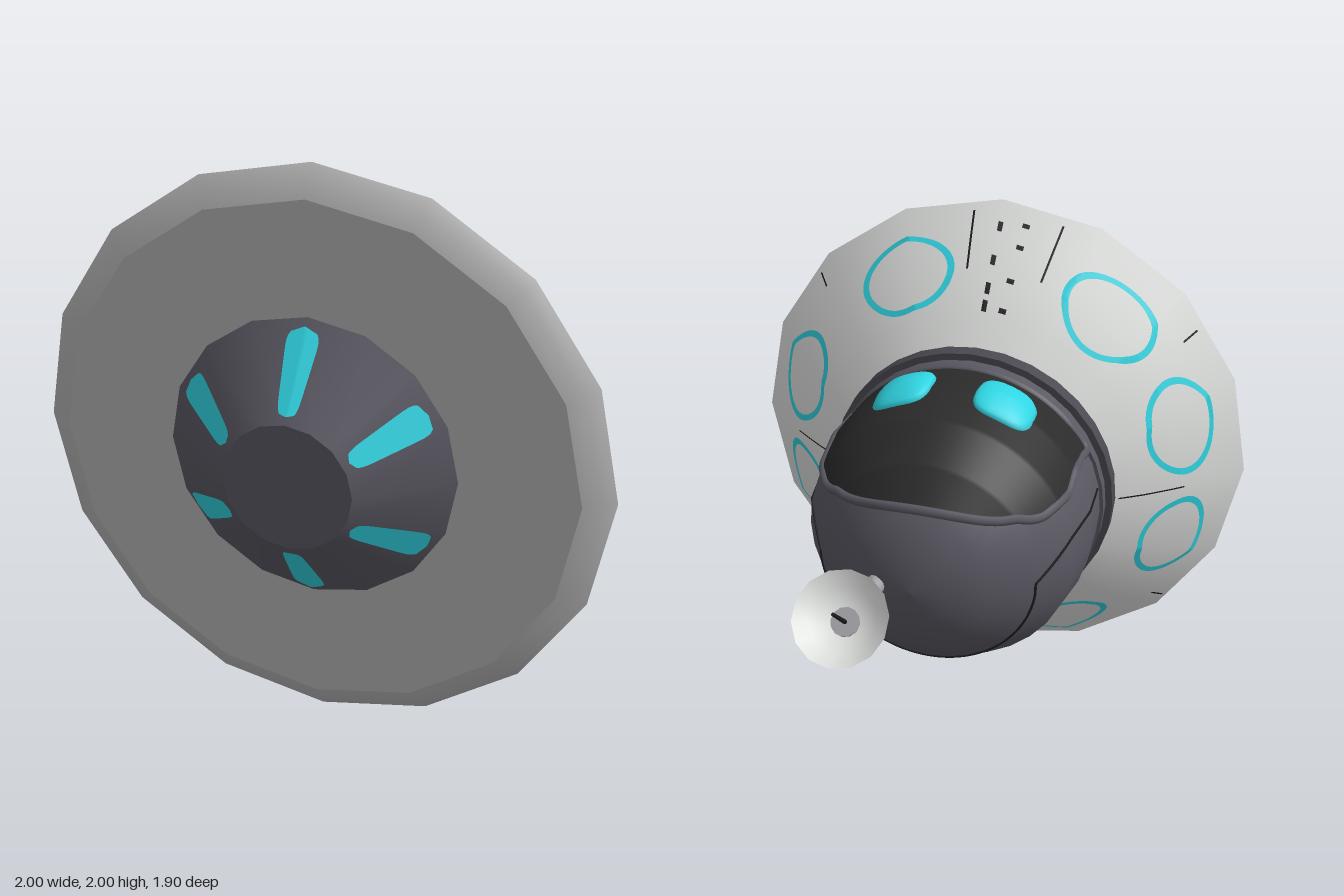
import * as THREE from 'three';
import { ParametricGeometry } from 'three/addons/geometries/ParametricGeometry.js';

const mat = (name, color, side = THREE.FrontSide) => {
  const m = new THREE.MeshStandardMaterial({ color, side });
  m.name = name;
  return m;
};
const rad = THREE.MathUtils.degToRad;
const lerp = THREE.MathUtils.lerp;

// Profiles as [radius, z], ordered from the underside to the dome tip
const saucerProfile = [[1, 0.685], [0.89, 0.58], [0.78, 0.48], [0.66, 0.39], [0.54, 0.315]];
const domeProfile = [[0.515, 0.26], [0.525, 0.03], [0.495, -0.16], [0.40, -0.31], [0.265, -0.43], [0.12, -0.487], [0, -0.497]];

function radiusAt(profile, z) {
  for (let i = 0; i < profile.length - 1; i++) {
    const [r0, z0] = profile[i], [r1, z1] = profile[i + 1];
    if (z >= z1) return lerp(r0, r1, (z0 - z) / (z0 - z1));
  }
  return profile[profile.length - 1][0];
}

// Point at an angle around the axis, and the inset of a 16-sided ring at that angle
const around = (a, z, r) => new THREE.Vector3(r * Math.sin(a), -z, r * Math.cos(a));
const facet = (a) => {
  const step = Math.PI / 8;
  const m = ((a % step) + step) % step;
  return Math.cos(step / 2) / Math.cos(m - step / 2);
};
const onSaucer = (a, z, off) => around(a, z - off, radiusAt(saucerProfile, z) * facet(a) + off);
const onDome = (x, z, off) => {
  const r = radiusAt(domeProfile, z) + off;
  return new THREE.Vector3(x, -z, Math.sqrt(Math.max(0, r * r - x * x)));
};

export function createModel() {
  const hull = mat('hullGrey', 0x5a5862);
  const collarMat = mat('collarGrey', 0x4b4951);
  const pale = mat('paleGrey', 0xdfe1df, THREE.DoubleSide);
  const under = mat('undersideGrey', 0xb3b3b4);
  const cyan = mat('cyan', 0x30d5e3, THREE.DoubleSide);
  const black = mat('visorBlack', 0x2b2b2b, THREE.DoubleSide);
  const mark = mat('markingBlack', 0x1c1c1c, THREE.DoubleSide);
  const metal = mat('jointGrey', 0xa0a0a4);

  const model = new THREE.Group();
  const ship = new THREE.Group();
  ship.name = 'ship';
  ship.rotation.x = -Math.PI / 2;
  ship.position.y = 1;
  model.add(ship);

  const add = (name, geometry, material, parent = ship) => {
    const m = new THREE.Mesh(geometry, material);
    m.name = name;
    parent.add(m);
    return m;
  };
  const lathe = (name, pts, material, sides = 16, parent = ship) =>
    add(name, new THREE.LatheGeometry(pts.map(([r, z]) => new THREE.Vector2(r, -z)), sides), material, parent);
  const patch = (name, fn, nu, nv, material, parent = ship) =>
    add(name, new ParametricGeometry((u, v, t) => t.copy(fn(u, v)), nu, nv), material, parent);
  const tube = (name, pts, r, n, material, closed = false) =>
    add(name, new THREE.TubeGeometry(new THREE.CatmullRomCurve3(pts, closed), n, r, 6, closed), material);

  // Saucer
  lathe('saucerTop', saucerProfile, pale);
  lathe('saucerRim', [[0.9, 0.748], [0.96, 0.725], [1, 0.685]], under);
  lathe('saucerUnderside', [[0, 0.748], [0.9, 0.748]], under);

  // Ringed lights on the saucer
  for (const deg of [24, 72, 108, 147, -155, -108, -72, -35]) {
    patch('saucerLightRing', (u, v) => {
      const p = u * Math.PI * 2, k = lerp(0.86, 1, v);
      return onSaucer(rad(deg) + 0.25 * k * Math.sin(p), 0.505 + 0.097 * k * Math.cos(p), 0.006);
    }, 64, 2, cyan);
  }

  // Panel seams and vents on both sides of the saucer: [degrees, z start, z end, half width]
  const strip = (name, deg, z0, z1, w) => patch(name, (u, v) => {
    const z = lerp(z0, z1, v);
    return onSaucer(rad(deg) + (u - 0.5) * 2 * w / radiusAt(saucerProfile, z), z, 0.005);
  }, 2, 6, mark);
  for (const turn of [0, 180]) {
    strip('panelSeam', turn - 14.5, 0.5, 0.66, 0.004);
    strip('panelSeam', turn + 6.1, 0.5, 0.66, 0.004);
    for (const z of [0.41, 0.48, 0.57, 0.63]) strip('vent', turn - 6.5, z - 0.006, z + 0.006, 0.014);
    for (const z of [0.41, 0.45, 0.52, 0.61]) strip('vent', turn - 0.7, z - 0.013, z + 0.013, 0.009);
    strip('panelSeam', turn + 90, 0.33, 0.49, 0.003);
    strip('panelSeam', turn + 49, 0.61, 0.66, 0.004);
    strip('panelSeam', turn - 53, 0.61, 0.66, 0.004);
  }

  // Engine cone below the saucer with six light strips
  const engine = new THREE.Group();
  engine.name = 'engine';
  engine.position.z = 0.017;
  ship.add(engine);
  lathe('engineCap', [[0, 0.955], [0.22, 0.955]], hull, 16, engine);
  lathe('engineCone', [[0.22, 0.955], [0.505, 0.745]], hull, 16, engine);
  for (let i = 0; i < 6; i++) {
    patch('engineLight', (u, v) => {
      const r = lerp(0.24, 0.475, v);
      const w = lerp(0.032, 0.06, v) * Math.pow(Math.max(0, 1 - Math.abs(2 * v - 1) ** 8), 0.4);
      const a = i * Math.PI / 3 + (u - 0.5) * 2 * w / r;
      return around(a, 0.955 - (r - 0.22) * 0.737 + 0.004, r * facet(a) + 0.004);
    }, 8, 24, cyan, engine);
  }

  // Collars where the dome meets the saucer
  lathe('collarSide', [[0.556, 0.325], [0.556, 0.265]], collarMat, 32);
  lathe('collarTop', [[0.556, 0.265], [0.5, 0.265]], collarMat, 32);
  lathe('innerCollarSide', [[0.53, 0.265], [0.53, 0.222]], hull, 32);
  lathe('innerCollarTop', [[0.53, 0.222], [0.5, 0.222]], hull, 32);

  // Dome
  lathe('dome', domeProfile, hull, 32);

  // Visor, arched at its top end, with a raised frame
  const visorHalf = (z) => 0.45 * Math.sqrt(Math.max(0, 1 - (Math.max(0, -0.06 - z) / 0.35) ** 2));
  const visorZ = (v) => 0.21 - 0.62 * Math.sin(v * Math.PI / 2);
  patch('visor', (u, v) => {
    const z = visorZ(v);
    return onDome((2 * u - 1) * visorHalf(z), z, 0.008);
  }, 32, 48, black);
  const frame = [];
  for (let i = 0; i <= 16; i++) frame.push(onDome(visorHalf(visorZ(i / 16)), visorZ(i / 16), 0.002));
  for (let i = 15; i >= 0; i--) frame.push(onDome(-visorHalf(visorZ(i / 16)), visorZ(i / 16), 0.002));
  for (let i = 1; i < 12; i++) frame.push(onDome(lerp(-0.45, 0.45, i / 12), 0.21, 0.002));
  tube('visorFrame', frame, 0.018, 160, hull, true);

  // Bulging rounded-square eyes
  const soft = (c) => Math.sign(c) * Math.pow(Math.abs(c), 0.65);
  for (const s of [-1, 1]) {
    patch('eye', (u, v) => {
      const p = u * Math.PI * 2;
      const x = s * 0.187 + 0.107 * v * soft(Math.cos(p));
      const z = 0.042 + 0.112 * v * soft(Math.sin(p));
      return onDome(x, z, 0.008 + 0.036 * Math.sqrt(Math.max(0, 1 - v * v)));
    }, 32, 12, cyan);
  }

  // Panel groove around the back of the dome: [degrees, z]
  const corners = [[78, 0.21], [78, 0.03], [78, -0.16], [90, -0.31], [180, -0.31], [270, -0.31], [282, -0.16], [282, 0.03], [282, 0.21]];
  const groove = [];
  for (let i = 0; i < corners.length - 1; i++) {
    for (let k = 0; k < 12; k++) {
      const z = lerp(corners[i][1], corners[i + 1][1], k / 12);
      groove.push(around(rad(lerp(corners[i][0], corners[i + 1][0], k / 12)), z, radiusAt(domeProfile, z)));
    }
  }
  tube('domeGroove', groove, 0.005, 200, mark);

  // Antenna mast
  const antenna = new THREE.Group();
  antenna.name = 'antenna';
  antenna.position.set(0.13, 0, 0.005);
  ship.add(antenna);
  const rod = (name, r0, r1, h, y, material, parent = antenna) => {
    const m = add(name, new THREE.CylinderGeometry(r1, r0, h, 12), material, parent);
    m.position.y = y;
    return m;
  };
  rod('antennaBase', 0.036, 0.028, 0.06, 0.505, metal);
  rod('antennaMast', 0.013, 0.013, 0.2, 0.6, hull);
  rod('antennaCollar', 0.02, 0.032, 0.03, 0.675, metal);
  add('antennaJoint', new THREE.SphereGeometry(0.034, 12, 8), metal, antenna).position.y = 0.705;

  // Tilted dish with its receiver spike
  const dish = new THREE.Group();
  dish.name = 'dish';
  dish.position.set(0, 0.777, 0.045);
  dish.rotation.x = Math.PI / 4;
  antenna.add(dish);
  lathe('dishBowl', [[0, 0], [0.06, -0.008], [0.115, -0.035], [0.165, -0.075]], pale, 14, dish);
  rod('dishHub', 0.05, 0.05, 0.008, 0.01, metal, dish);
  rod('dishArm', 0.02, 0.025, 0.09, -0.04, metal, dish);
  rod('dishSpike', 0.008, 0.006, 0.15, 0.08, mark, dish);

  return model;
}
